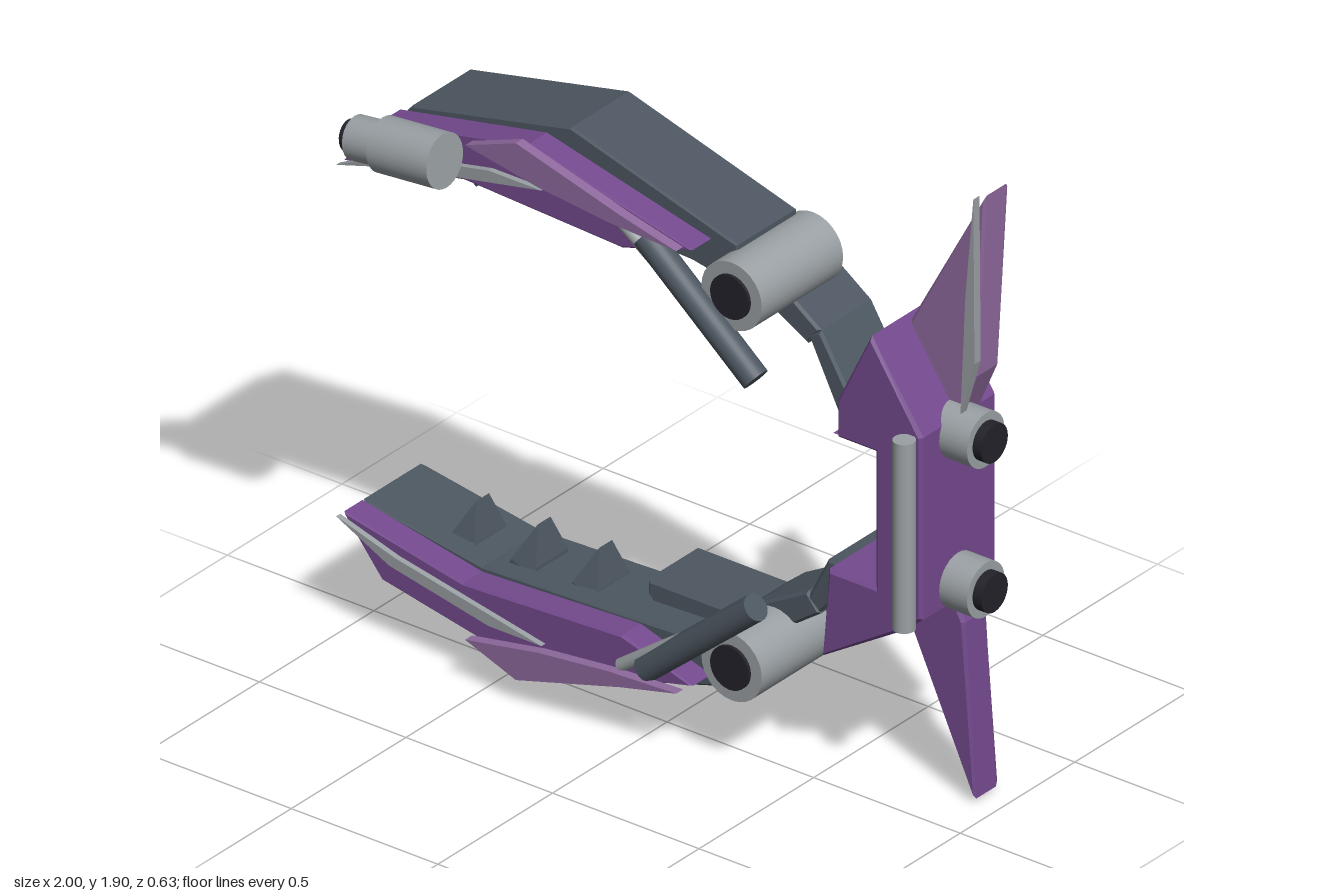
import * as THREE from 'three';

const material = (name, color) => new THREE.MeshStandardMaterial({ name, color });

export function createModel() {
  const root = new THREE.Group();
  root.name = 'jawFrame';
  const purple = material('purple', 0x744a8e);
  const lilac = material('lilac', 0x906a9f);
  const slate = material('slate', 0x4d5761);
  const grey = material('grey', 0x9aa0a4);
  const black = material('black', 0x23222b);

  const add = (parent, name, geometry, mat) => {
    const mesh = new THREE.Mesh(geometry, mat);
    mesh.name = name;
    parent.add(mesh);
    return mesh;
  };

  // Outline in x, y extruded from z0 to z1, with an optional chamfer
  const slab = (parent, name, pts, z0, z1, mat, bevel = 0) => {
    const shape = new THREE.Shape(pts.map(([x, y]) => new THREE.Vector2(x, y)));
    const g = new THREE.ExtrudeGeometry(shape, {
      depth: z1 - z0 - 2 * bevel, bevelEnabled: bevel > 0, bevelSize: bevel,
      bevelThickness: bevel, bevelOffset: -bevel, bevelSegments: 1,
    });
    g.translate(0, 0, z0 + bevel);
    return add(parent, name, g, mat);
  };

  // Round bar between two points
  const bar = (parent, name, a, b, r, mat) => {
    const from = new THREE.Vector3(...a), to = new THREE.Vector3(...b);
    const dir = to.clone().sub(from);
    const mesh = add(parent, name, new THREE.CylinderGeometry(r, r, dir.length(), 28), mat);
    mesh.position.copy(from).add(to).multiplyScalar(0.5);
    mesh.quaternion.setFromUnitVectors(new THREE.Vector3(0, 1, 0), dir.normalize());
    return mesh;
  };

  // Both jaws share one design, mirrored about y = 0.91
  for (const upper of [true, false]) {
    const jaw = new THREE.Group();
    jaw.name = upper ? 'upperJaw' : 'lowerJaw';
    root.add(jaw);
    const fy = (y) => (upper ? y : 1.82 - y);
    const f = (pts) => pts.map(([x, y]) => [x, fy(y)]);
    const p = (x, y, z) => [x, fy(y), z];

    slab(jaw, 'jawBody', f([[-1, 1.45], [-0.83, 1.64], [-0.29, 1.757], [0.28, 1.59],
      [0.28, 1.46], [0.12, 1.49], [-0.59, 1.515]]), -0.21, 0.05, slate, 0.006);
    slab(jaw, 'cheekPlate', f([[-1, 1.45], [-0.87, 1.615], [-0.37, 1.715], [0.19, 1.58],
      [-0.05, 1.505], [-0.59, 1.53]]), 0.045, 0.135, purple, 0.006);
    slab(jaw, 'cheekAccent', f([[-0.55, 1.67], [-0.377, 1.735], [-0.02, 1.635],
      [0.17, 1.59], [-0.06, 1.6], [-0.3, 1.625]]), 0.147, 0.178, lilac);
    slab(jaw, 'cheekSliver', f([[-1, 1.45], [-0.8, 1.51], [-0.3, 1.61],
      [-0.48, 1.61], [-0.82, 1.54]]), 0.147, 0.165, grey);

    // Teeth narrow towards the tip
    for (const x of [-0.7, -0.49, -0.28]) {
      const tooth = slab(jaw, 'tooth', f([[x - 0.065, 1.53], [x - 0.05, 1.5],
        [x + 0.008, 1.393], [x + 0.035, 1.5], [x + 0.035, 1.53]]), -0.15, -0.01, slate);
      const pos = tooth.geometry.attributes.position;
      for (let i = 0; i < pos.count; i++) {
        if (Math.abs(pos.getY(i) - fy(1.393)) < 0.01) pos.setZ(i, -0.08 + (pos.getZ(i) + 0.08) * 0.4);
      }
      tooth.geometry.computeVertexNormals();
    }

    // Linked arm running back to the spine
    slab(jaw, 'innerArm', f([[-0.115, 1.44], [-0.115, 1.485], [-0.09, 1.51],
      [0.2, 1.51], [0.2, 1.44]]), -0.29, -0.06, slate, 0.008);
    slab(jaw, 'middleArm', f([[0.19, 1.44], [0.2, 1.51], [0.27, 1.49], [0.475, 1.345],
      [0.43, 1.29], [0.25, 1.39]]), -0.29, -0.06, slate, 0.008);
    slab(jaw, 'outerArm', upper
      ? [[0.43, 1.32], [0.475, 1.345], [0.6, 1.14], [0.6, 1.04], [0.565, 1.05]]
      : [[0.43, 0.51], [0.5, 0.65], [0.57, 0.655], [0.57, 0.58], [0.47, 0.475]],
    -0.29, -0.06, slate, 0.008);

    // Hinge drum
    bar(jaw, 'hinge', p(0.318, 1.48, -0.23), p(0.318, 1.48, 0.125), 0.103, grey);
    bar(jaw, 'hingeCap', p(0.318, 1.48, 0.1), p(0.318, 1.48, 0.135), 0.066, black);

    // Piston and its rod
    bar(jaw, 'piston', p(0.035, 1.575, 0.137), p(0.41, 1.26, 0.137), 0.04, slate);
    bar(jaw, 'pistonRod', p(-0.05, 1.595, 0.137), p(0.22, 1.4, 0.137), 0.02, grey);
  }

  // Upper cannon
  const cannon = new THREE.Group();
  cannon.name = 'cannon';
  root.add(cannon);
  bar(cannon, 'cannonBarrel', [-0.78, 1.62, 0.235], [-0.575, 1.638, 0.235], 0.08, grey);
  bar(cannon, 'cannonNeck', [-0.875, 1.608, 0.235], [-0.77, 1.62, 0.235], 0.064, grey);
  bar(cannon, 'cannonMuzzle', [-0.9, 1.606, 0.235], [-0.87, 1.61, 0.235], 0.046, black);

  // Small gun under the lower jaw
  const gun = new THREE.Group();
  gun.name = 'smallGun';
  root.add(gun);
  bar(gun, 'gunBarrel', [-0.735, 0.048, -0.12], [-0.525, 0.078, -0.12], 0.041, grey);
  bar(gun, 'gunMuzzle', [-0.76, 0.044, -0.12], [-0.73, 0.049, -0.12], 0.03, black);

  // Spine block with hooked ends
  slab(root, 'spine', [[0.7, 1.435], [0.585, 1.2], [0.585, 1.085], [0.715, 1.085],
    [0.715, 0.67], [0.555, 0.67], [0.533, 0.395], [0.8, 0.56], [0.875, 0.62],
    [0.875, 1.18]], -0.32, 0.01, purple, 0.01);
  // Sloping underside of the upper hook
  const lip = new THREE.ExtrudeGeometry(new THREE.Shape([
    new THREE.Vector2(0, 1.09), new THREE.Vector2(0.31, 1.09), new THREE.Vector2(0.31, 1.035),
  ]), { depth: 0.15, bevelEnabled: false });
  lip.rotateY(Math.PI / 2);
  lip.translate(0.567, 0, 0);
  add(root, 'spineLip', lip, purple);
  bar(root, 'spineRod', [0.84, 0.6, 0.04], [0.84, 1.18, 0.04], 0.032, grey);

  // Tail fins and blade
  slab(root, 'upperFin', [[0.965, 1.885], [0.7, 1.4], [0.78, 1.2], [0.875, 1.18],
    [0.935, 1.32]], -0.255, -0.15, lilac, 0.01);
  slab(root, 'lowerFin', [[0.93, 0.02], [0.7, 0.5], [0.78, 0.62], [0.86, 0.62],
    [0.895, 0.55]], -0.255, -0.15, purple, 0.01);
  slab(root, 'tailBlade', [[0.972, 1.905], [0.976, 1.4], [0.928, 1.23], [0.945, 1.6]],
    -0.12, -0.093, grey);

  // Thrusters
  for (const y of [1.14, 0.68]) {
    bar(root, 'thruster', [0.8, y, -0.15], [0.97, y, -0.15], 0.082, grey);
    bar(root, 'thrusterNozzle', [0.95, y, -0.15], [1, y, -0.15], 0.058, black);
  }
  return root;
}
